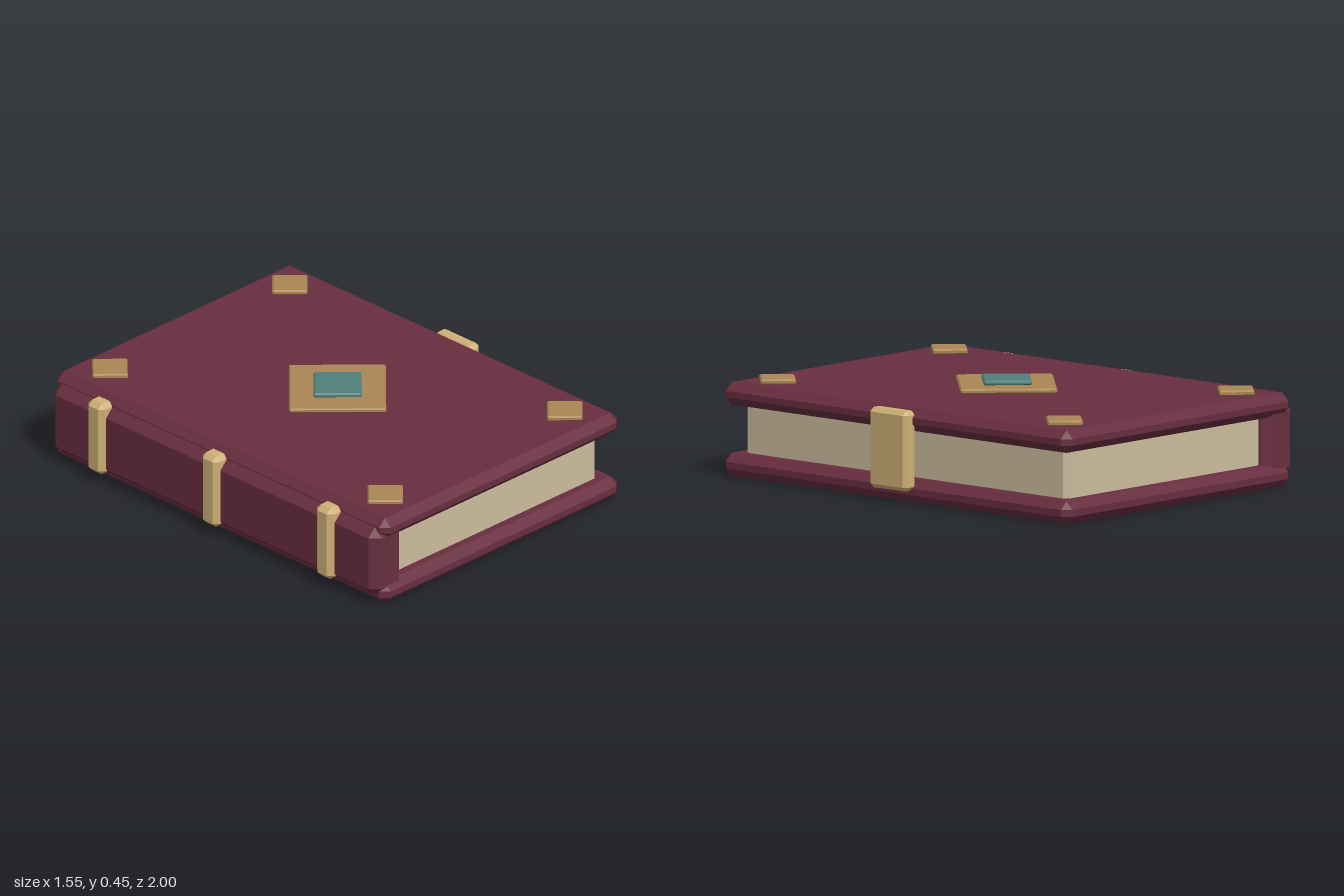
import * as THREE from 'three';
import { ConvexGeometry } from 'three/addons/geometries/ConvexGeometry.js';

const mat = (name, color) => {
  const m = new THREE.MeshStandardMaterial({ color });
  m.name = name;
  return m;
};

// Box with flat chamfers of width c on every edge, centred on the origin
function chamferBox(w, h, d, c) {
  const points = [];
  for (const sx of [-1, 1]) for (const sy of [-1, 1]) for (const sz of [-1, 1]) {
    const x = w / 2, y = h / 2, z = d / 2;
    points.push(
      new THREE.Vector3(sx * x, sy * (y - c), sz * (z - c)),
      new THREE.Vector3(sx * (x - c), sy * y, sz * (z - c)),
      new THREE.Vector3(sx * (x - c), sy * (y - c), sz * z)
    );
  }
  return new ConvexGeometry(points);
}

export function createModel() {
  const book = new THREE.Group();
  book.name = 'book';
  const leather = mat('burgundy leather', 0x682e3f);
  const paper = mat('aged paper', 0xcdbd9e);
  const brass = mat('pale brass', 0xcfb176);
  const bronze = mat('dark brass', 0xab8654);
  const teal = mat('teal gem', 0x4f807d);

  // Chamfered block given by its min and max on each axis
  function block(name, material, [x0, x1], [y0, y1], [z0, z1], c) {
    const mesh = new THREE.Mesh(chamferBox(x1 - x0, y1 - y0, z1 - z0, c), material);
    mesh.position.set((x0 + x1) / 2, (y0 + y1) / 2, (z0 + z1) / 2);
    mesh.name = name;
    book.add(mesh);
  }

  // Flat square plate turned by 45 degrees; r is half its diagonal
  function diamond(name, material, x, z, r, y0, y1, c) {
    const side = r * Math.SQRT2;
    const mesh = new THREE.Mesh(chamferBox(side, y1 - y0, side, c), material);
    mesh.position.set(x, (y0 + y1) / 2, z);
    mesh.rotation.y = Math.PI / 4;
    mesh.name = name;
    book.add(mesh);
  }

  // Covers, spine and page block
  block('backCover', leather, [-0.71, 0.73], [0, 0.1], [-1, 1], 0.035);
  block('frontCover', leather, [-0.71, 0.73], [0.308, 0.406], [-1, 1], 0.035);
  block('spine', leather, [-0.75, -0.565], [0.04, 0.366], [-0.98, 0.98], 0.04);
  block('pages', paper, [-0.65, 0.655], [0.07, 0.336], [-0.93, 0.93], 0.022);

  // Clasp on the open edge and bands across the spine
  block('clasp', brass, [0.7, 0.774], [0.053, 0.4], [-0.11, 0.11], 0.018);
  for (const z of [-0.687, 0, 0.687]) {
    block('spineBand', brass, [-0.776, -0.69], [0.05, 0.39], [z - 0.05, z + 0.05], 0.022);
  }

  // Corner studs and centre ornament on the front cover
  for (const x of [-0.534, 0.556]) for (const z of [-0.827, 0.827]) {
    diamond('cornerStud', bronze, x, z, 0.107, 0.404, 0.427, 0.006);
  }
  diamond('centrePlate', bronze, 0.012, 0, 0.293, 0.41, 0.431, 0.006);
  diamond('gem', teal, 0.012, 0, 0.146, 0.428, 0.45, 0.007);

  return book;
}
